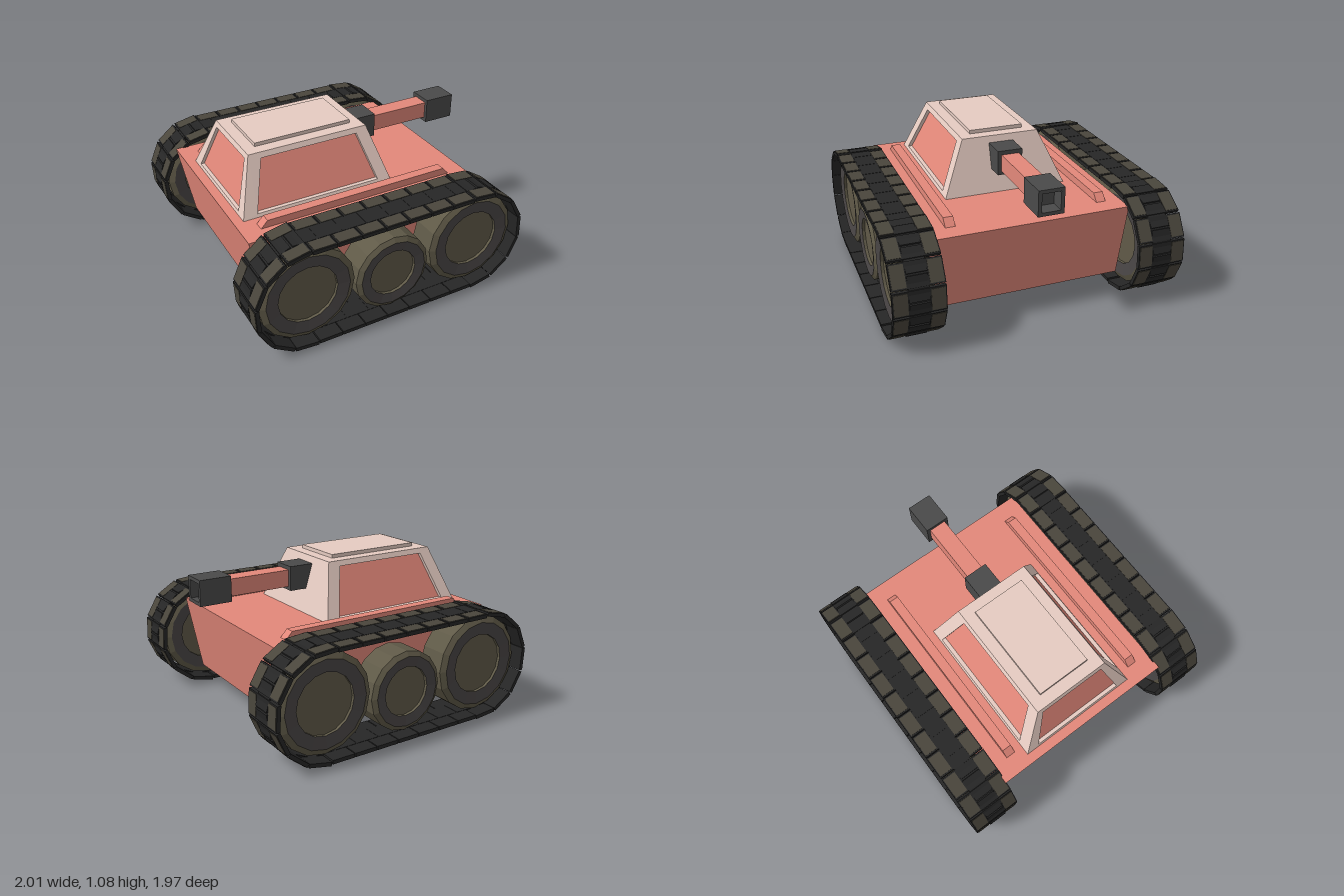
import * as THREE from 'three';

const mat = (color, side = THREE.FrontSide) => new THREE.MeshStandardMaterial({ color, side, flatShading: true });
const red = mat(0xe3887a), cream = mat(0xe6ccc2), gun = mat(0x4a4a4a), olive = mat(0x605a48);
const grey = mat(0x4a4646), black = mat(0x262626), pad = mat(0x4a463c);

const add = (parent, name, geometry, material, x = 0, y = 0, z = 0) => {
  const mesh = new THREE.Mesh(geometry, material);
  mesh.name = name;
  mesh.position.set(x, y, z);
  parent.add(mesh);
  return mesh;
};

// Box given by its limits
const block = (parent, name, material, [x0, x1], [y0, y1], [z0, z1]) =>
  add(parent, name, new THREE.BoxGeometry(x1 - x0, y1 - y0, z1 - z0), material,
    (x0 + x1) / 2, (y0 + y1) / 2, (z0 + z1) / 2);

// Side profile in x and y, extruded across z around z = 0
function prism(points, width) {
  const shape = new THREE.Shape(points.map(([x, y]) => new THREE.Vector2(x, y)));
  return new THREE.ExtrudeGeometry(shape, { depth: width, bevelEnabled: false }).translate(0, 0, -width / 2);
}

// Quads with corners counter-clockwise seen from outside
function quads(list) {
  const pos = [];
  for (const [a, b, c, d] of list) pos.push(...a, ...b, ...c, ...a, ...c, ...d);
  const g = new THREE.BufferGeometry();
  g.setAttribute('position', new THREE.Float32BufferAttribute(pos, 3));
  g.computeVertexNormals();
  return g;
}

// Sloped wall with a recessed red panel
function windowWall(parent, outer, hole, inward) {
  const back = hole.map((p) => p.map((v, i) => v + inward[i]));
  const faces = [];
  for (let i = 0; i < 4; i++) {
    const j = (i + 1) % 4;
    faces.push([outer[i], outer[j], hole[j], hole[i]], [hole[i], hole[j], back[j], back[i]]);
  }
  add(parent, 'turretFrame', quads(faces), cream);
  add(parent, 'turretPanel', quads([back]), red);
}

function makeTurret() {
  const t = new THREE.Group();
  t.name = 'turret';
  const b = 0.678, h = 1.045;
  for (const s of [1, -1]) {
    const outer = [[-0.82, b, 0.43 * s], [0.265, b, 0.43 * s], [0.152, h, 0.27 * s], [-0.7, h, 0.27 * s]];
    const hole = [[-0.718, 0.7, 0.421 * s], [0.168, 0.7, 0.421 * s], [0.073, 1.01, 0.285 * s], [-0.62, 1.01, 0.285 * s]];
    if (s < 0) { outer.reverse(); hole.reverse(); }
    windowWall(t, outer, hole, [0, 0, -0.028 * s]);
  }
  windowWall(t,
    [[-0.82, b, -0.43], [-0.82, b, 0.43], [-0.7, h, 0.27], [-0.7, h, -0.27]],
    [[-0.813, 0.7, -0.335], [-0.813, 0.7, 0.335], [-0.712, 1.01, 0.235], [-0.712, 1.01, -0.235]],
    [0.025, 0, 0]);
  add(t, 'turretFrontAndRoof', quads([
    [[0.265, b, 0.43], [0.265, b, -0.43], [0.152, h, -0.27], [0.152, h, 0.27]],
    [[-0.7, h, 0.27], [0.152, h, 0.27], [0.152, h, -0.27], [-0.7, h, -0.27]],
  ]), cream);
  block(t, 'roofHatch', cream, [-0.62, 0.073], [1.04, 1.07], [-0.19, 0.19]);
  return t;
}

function makeGun() {
  const g = new THREE.Group();
  g.name = 'gun';
  block(g, 'gunMount', gun, [0.16, 0.338], [0.832, 1], [-0.086, 0.086]);
  block(g, 'barrel', red, [0.3, 0.8], [0.857, 0.973], [-0.06, 0.06]);
  // Hollow square muzzle
  const square = (r) => [[-r, -r], [r, -r], [r, r], [-r, r]].map(([x, y]) => new THREE.Vector2(x, y));
  const shape = new THREE.Shape(square(0.086));
  shape.holes.push(new THREE.Path(square(0.062)));
  const sleeve = new THREE.ExtrudeGeometry(shape, { depth: 0.22, bevelEnabled: false }).rotateY(Math.PI / 2);
  add(g, 'muzzle', sleeve, gun, 0.78, 0.915, 0);
  block(g, 'muzzleCore', gun, [0.785, 0.9], [0.848, 0.982], [-0.067, 0.067]);
  return g;
}

// Wheel with a bevelled rim, flat ring and slightly sunken hub on both faces
const greyFace = mat(0x4a4646, THREE.DoubleSide), oliveFace = mat(0x605a48, THREE.DoubleSide);
function makeWheel(r, hub) {
  const w = new THREE.Group();
  w.name = 'wheel';
  const lathe = (pts) =>
    new THREE.LatheGeometry(pts.map(([x, y]) => new THREE.Vector2(x, y)), 16).rotateX(Math.PI / 2);
  const rim = r * 0.88;
  add(w, 'tyre', lathe([[rim, -0.115], [r, -0.095], [r, 0.095], [rim, 0.115]]), olive);
  for (const s of [1, -1]) {
    add(w, 'wheelRing', lathe([[rim, s * 0.115], [hub, s * 0.105]]), greyFace);
    add(w, 'hub', lathe([[hub, s * 0.105], [hub, s * 0.085], [0, s * 0.085]]), oliveFace);
  }
  return w;
}

// Point and heading along the stadium-shaped track loop
const R = 0.354, HALF = 0.618, STRAIGHT = 2 * HALF, ARC = Math.PI * R, LOOP = 2 * (STRAIGHT + ARC);
function onLoop(d) {
  d %= LOOP;
  const side = d < LOOP / 2 ? 1 : -1;
  if (side < 0) d -= LOOP / 2;
  const turn = side > 0 ? 0 : -Math.PI;
  if (d < STRAIGHT) return { x: side * (d - HALF), y: side * R, a: turn };
  const t = (d - STRAIGHT) / R;
  return { x: side * (HALF + R * Math.sin(t)), y: side * R * Math.cos(t), a: turn - t };
}

function makeTrack() {
  const track = new THREE.Group();
  track.name = 'track';
  const links = 28, pitch = LOOP / links;
  const plate = new THREE.BoxGeometry(pitch - 0.006, 0.026, 0.335);
  const bridge = new THREE.BoxGeometry(pitch - 0.006, 0.03, 0.13);
  const grip = new THREE.BoxGeometry(pitch - 0.026, 0.012, 0.088);
  const place = (name, d) => {
    const p = onLoop(d), g = new THREE.Group();
    g.name = name;
    g.position.set(p.x, p.y, 0);
    g.rotation.z = p.a;
    track.add(g);
    return g;
  };
  for (let i = 0; i < links; i++) {
    const link = place('trackLink', (i + 0.5) * pitch + 0.01);
    add(link, 'linkPlate', plate, black);
    for (const s of [1, -1]) add(link, 'linkPad', grip, pad, 0, 0.01, s * 0.116);
    add(place('trackJoint', i * pitch + 0.01), 'jointPlate', bridge, black);
  }
  return track;
}

export function createModel() {
  const model = new THREE.Group();
  model.name = 'tank';

  add(model, 'hull', prism([[-0.78, 0.13], [0.675, 0.13], [0.785, 0.678], [-0.885, 0.678]], 1.32), red);
  model.add(makeTurret(), makeGun());

  for (const s of [1, -1]) {
    // Rail with sloped ends along the deck
    add(model, 'deckRail', prism([[-0.763, 0.67], [0.663, 0.67], [0.61, 0.728], [-0.71, 0.728]], 0.066), red, 0, 0, s * 0.522);

    const runningGear = new THREE.Group();
    runningGear.name = s > 0 ? 'frontRunningGear' : 'backRunningGear';
    runningGear.position.z = s * 0.8175;
    const track = makeTrack();
    track.position.set(-0.01, 0.371, 0);
    runningGear.add(track);
    for (const [x, y, r, hub] of [[-0.62, 0.375, 0.33, 0.205], [0.605, 0.375, 0.33, 0.205], [-0.008, 0.315, 0.27, 0.168]]) {
      const wheel = makeWheel(r, hub);
      wheel.position.set(x, y, 0);
      runningGear.add(wheel);
    }
    model.add(runningGear);
  }
  return model;
}
